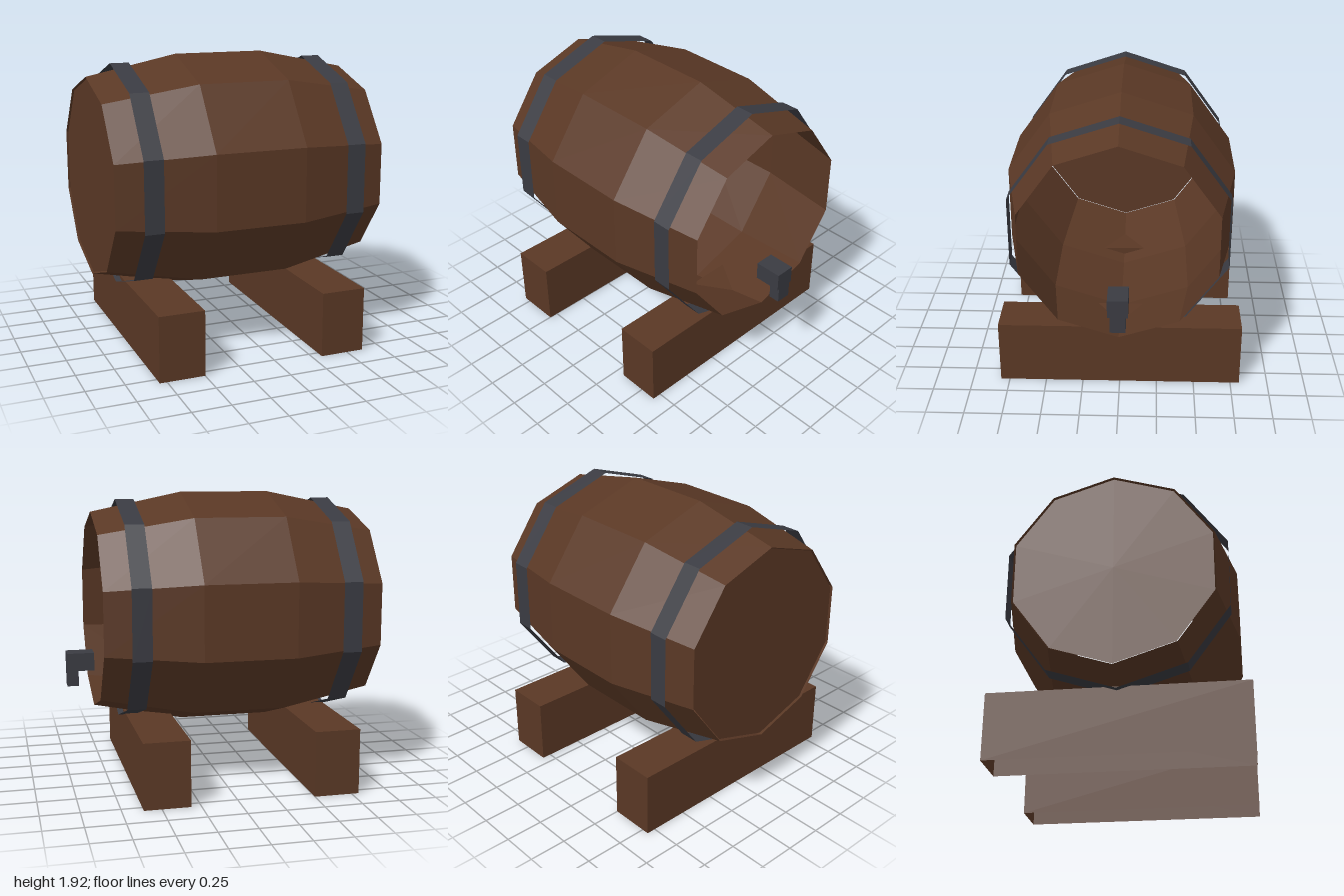
import * as THREE from 'three';

const wood = new THREE.MeshStandardMaterial({ color: 0x5a3825, flatShading: true, side: THREE.DoubleSide });
wood.name = 'brown wood';
const iron = new THREE.MeshStandardMaterial({ color: 0x3a3b42, flatShading: true, side: THREE.DoubleSide });
iron.name = 'dark iron';

const AXIS_Y = 1.142; // height of the barrel's axis
const SIDES = 10;

function add(group, name, geometry, material, x, y, z = 0) {
  const mesh = new THREE.Mesh(geometry, material);
  mesh.name = name;
  mesh.position.set(x, y, z);
  group.add(mesh);
}

// Open ten-sided shell around the x axis, from [x, radius] pairs
function shell(profile) {
  const points = profile.map(([x, r]) => new THREE.Vector2(r, x));
  return new THREE.LatheGeometry(points, SIDES, Math.PI / 2).rotateZ(-Math.PI / 2);
}

// Beam that is open underneath
function openBeam(w, h, d) {
  const geometry = new THREE.BoxGeometry(w, h, d);
  const index = Array.from(geometry.index.array);
  index.splice(18, 6); // the bottom face
  geometry.setIndex(index);
  geometry.clearGroups();
  return geometry;
}

export function createModel() {
  const group = new THREE.Group();
  group.name = 'barrelOnStand';

  // Bulging body, open at the tap end
  const body = shell([[-1, 0.657], [-0.393, 0.783], [0.213, 0.783], [0.82, 0.657]]);
  add(group, 'barrelBody', body, wood, 0, AXIS_Y);

  // Closed end, with a hairline gap to the rim
  const head = new THREE.CircleGeometry(0.648, SIDES).rotateZ(Math.PI / 2).rotateY(-Math.PI / 2);
  add(group, 'barrelHead', head, wood, -0.988, AXIS_Y);

  // Straight hoops
  for (const x of [-0.775, 0.592]) {
    add(group, 'hoop', shell([[-0.063, 0.737], [0.063, 0.737]]), iron, x, AXIS_Y);
  }

  // Support beams
  for (const x of [-0.648, 0.465]) {
    add(group, 'supportBeam', openBeam(0.3, 0.43, 1.62), wood, x, 0.215);
  }

  // Tap
  add(group, 'tapBody', new THREE.BoxGeometry(0.18, 0.12, 0.13), iron, 0.91, 0.8);
  add(group, 'tapSpout', new THREE.BoxGeometry(0.075, 0.105, 0.1), iron, 0.9625, 0.6875);

  return group;
}
